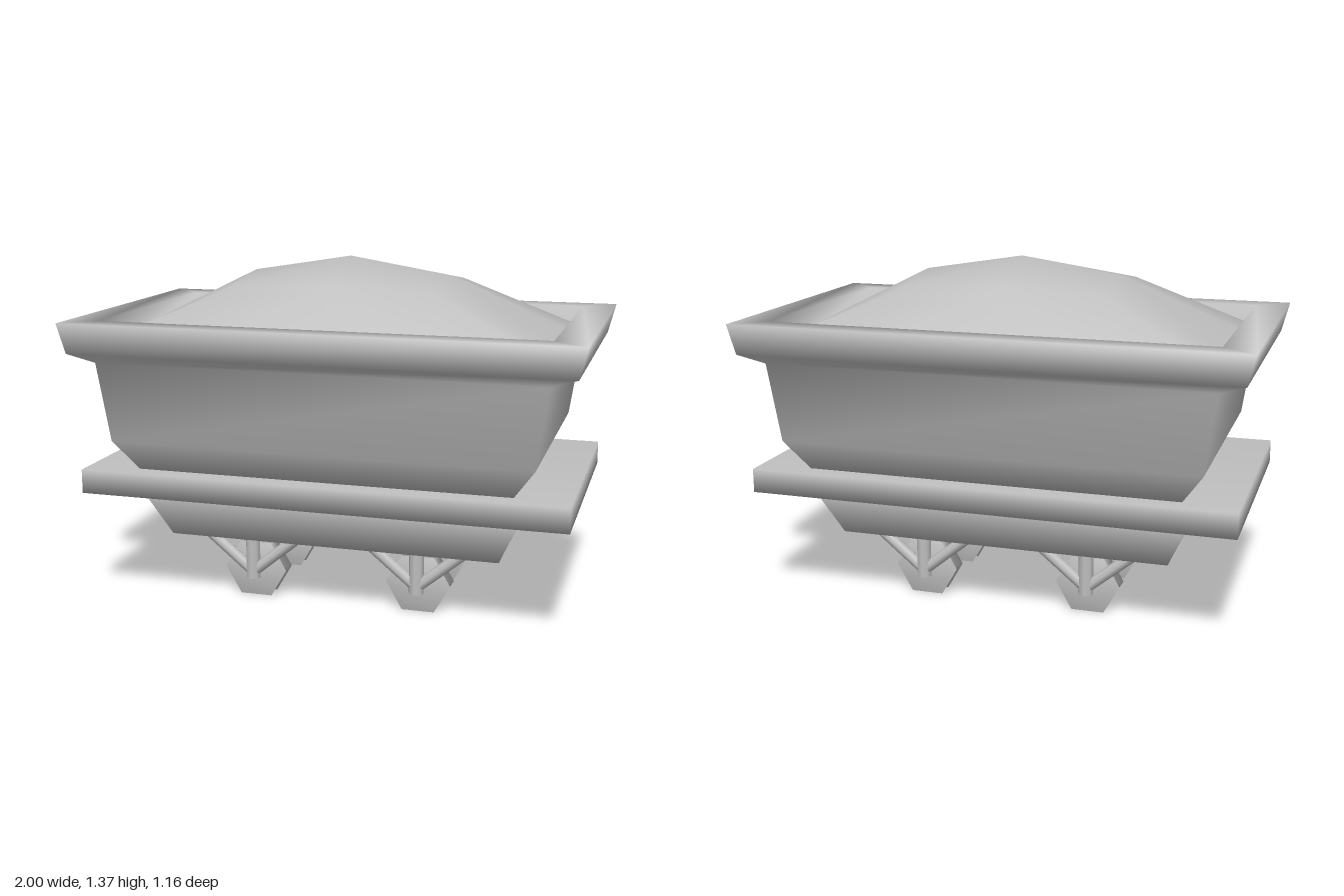
import * as THREE from 'three';

const steel = new THREE.MeshStandardMaterial({ color: 0xbfbfbf });
steel.name = 'plain grey';

function add(parent, name, geometry) {
  const mesh = new THREE.Mesh(geometry, steel);
  mesh.name = name;
  parent.add(mesh);
  return mesh;
}

function smooth(positions, index) {
  const g = new THREE.BufferGeometry();
  g.setAttribute('position', new THREE.Float32BufferAttribute(positions, 3));
  g.setIndex(index);
  g.computeVertexNormals();
  return g;
}

// Rectangular rings [halfX, halfZ, y] joined into one smooth-shaded shell
function loft(rings) {
  const corners = [[1, 1], [1, -1], [-1, -1], [-1, 1]];
  const pos = [], idx = [0, 2, 1, 0, 3, 2];
  rings.forEach(([hx, hz, y], i) => {
    corners.forEach(([sx, sz]) => pos.push(sx * hx, y, sz * hz));
    if (i === 0) return;
    for (let j = 0; j < 4; j++) {
      const k = (j + 1) % 4, a = (i - 1) * 4, b = i * 4;
      idx.push(a + j, a + k, b + k, a + j, b + k, b + j);
    }
  });
  const t = (rings.length - 1) * 4;
  idx.push(t, t + 1, t + 2, t, t + 2, t + 3);
  return smooth(pos, idx);
}

// Mirrored height grid for the load heaped in the hopper
function heap() {
  const xs = [-0.87, -0.4, 0, 0.4, 0.87], zs = [-0.475, -0.28, 0, 0.28, 0.475];
  const heights = [[1.375, 1.31, 1.06], [1.29, 1.27, 1.06], [1.107, 1.1, 1.06]];
  const pos = [], idx = [];
  zs.forEach((z, r) => xs.forEach((x, c) =>
    pos.push(x, heights[Math.abs(r - 2)][Math.abs(c - 2)], z)));
  for (let r = 0; r < 4; r++) for (let c = 0; c < 4; c++) {
    const a = r * 5 + c, b = a + 1, d = a + 5, e = a + 6;
    // diagonals follow the ridges away from the centre
    if ((r < 2) === (c < 2)) idx.push(a, d, e, a, e, b);
    else idx.push(a, d, b, b, d, e);
  }
  return smooth(pos, idx);
}

function strut(parent, name, from, to, radius) {
  const a = new THREE.Vector3(...from), b = new THREE.Vector3(...to);
  const dir = b.clone().sub(a);
  const mesh = add(parent, name, new THREE.CylinderGeometry(radius, radius, dir.length(), 8));
  mesh.position.copy(a).add(b).multiplyScalar(0.5);
  mesh.quaternion.setFromUnitVectors(new THREE.Vector3(0, 1, 0), dir.normalize());
}

export function createModel() {
  const cart = new THREE.Group();
  cart.name = 'mineCart';

  // Tub: tapered base, slab flange, flared hopper with a rim
  add(cart, 'base', loft([[0.67, 0.3, 0.255], [0.77, 0.4, 0.48]]));
  add(cart, 'flange', loft([[0.955, 0.517, 0.463], [0.955, 0.517, 0.558]]));
  add(cart, 'hopper', loft([
    [0.735, 0.435, 0.55], [0.825, 0.505, 0.68], [0.87, 0.525, 0.99],
    [0.97, 0.568, 1.027], [1, 0.58, 1.145], [0.87, 0.475, 1.145], [0.87, 0.475, 1.0],
  ]));
  add(cart, 'load', heap());

  // Grooved six-sided wheel
  const profile = [[0, -0.036], [0.13, -0.036], [0.106, 0], [0.13, 0.036], [0, 0.036]]
    .map(([r, y]) => new THREE.Vector2(r, y));
  const wheelGeometry = new THREE.LatheGeometry(profile, 6, Math.PI / 6).rotateX(Math.PI / 2);
  const axleY = 0.1126;

  // Wheel sets: axle, two wheels and three struts on each side
  for (const x of [-0.34, 0.34]) {
    const set = new THREE.Group();
    set.name = 'wheelSet';
    set.position.x = x;
    cart.add(set);
    const axle = add(set, 'axle', new THREE.CylinderGeometry(0.023, 0.023, 0.52, 8));
    axle.rotation.x = Math.PI / 2;
    axle.position.y = axleY + 0.004;
    for (const side of [-1, 1]) {
      const z = side * 0.257;
      add(set, 'wheel', wheelGeometry).position.set(0, axleY, side * 0.192);
      strut(set, 'uprightStrut', [0, 0.085, z], [0, 0.27, z], 0.03);
      for (const lean of [-1, 1]) {
        strut(set, 'leaningStrut', [0, 0.11, z], [lean * 0.185, 0.262, z], 0.023);
      }
    }
  }
  return cart;
}
